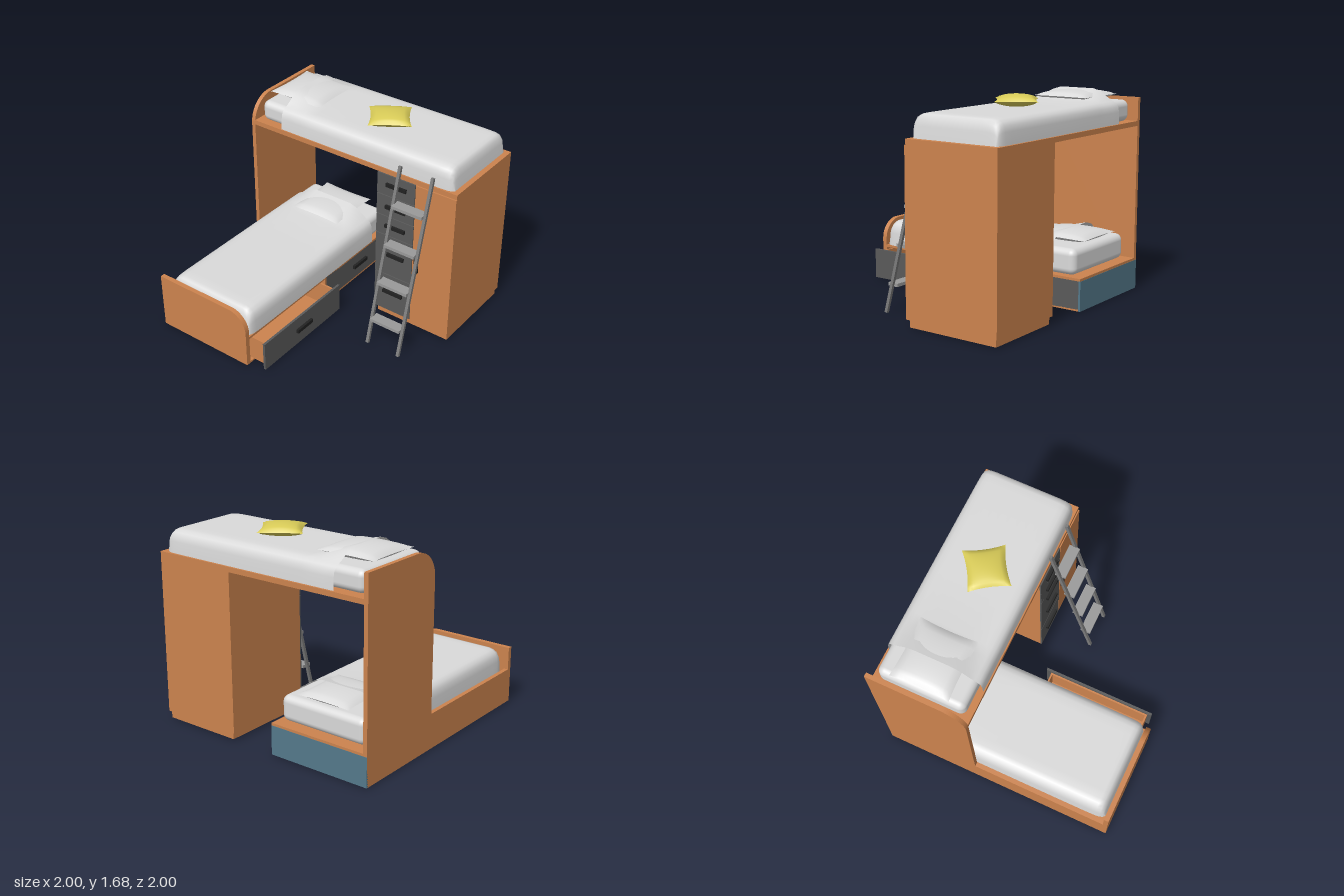
import * as THREE from 'three';
import { RoundedBoxGeometry } from 'three/addons/geometries/RoundedBoxGeometry.js';

const mat = (name, color, side = THREE.FrontSide) => {
  const m = new THREE.MeshStandardMaterial({ color, side });
  m.name = name;
  return m;
};

export function createModel() {
  const wood = mat('orange wood', 0xcc834e);
  const grey = mat('dark grey fronts', 0x5a5a5a);
  const black = mat('black handles', 0x222222);
  const metal = mat('ladder grey', 0x9a9a9a);
  const rail = mat('ladder rail grey', 0x7c7c7c);
  const linen = mat('white linen', 0xdadada, THREE.DoubleSide);
  const yellow = mat('yellow cushion', 0xd9cc58, THREE.DoubleSide);
  const blue = mat('blue panel', 0x54798a);

  const model = new THREE.Group();
  model.name = 'bunkBed';
  const add = (parent, name, geo, material) => {
    const mesh = new THREE.Mesh(geo, material);
    mesh.name = name;
    parent.add(mesh);
    return mesh;
  };
  const group = (name, parent = model) => {
    const g = new THREE.Group();
    g.name = name;
    parent.add(g);
    return g;
  };
  // Box given by its limits on each axis
  const box = (parent, name, m, x0, x1, y0, y1, z0, z1) => {
    const mesh = add(parent, name, new THREE.BoxGeometry(x1 - x0, y1 - y0, z1 - z0), m);
    mesh.position.set((x0 + x1) / 2, (y0 + y1) / 2, (z0 + z1) / 2);
    return mesh;
  };
  // Board standing on y0 with its top corner at +x rounded
  const roundedBoard = (width, y0, y1, r, depth) => {
    const s = new THREE.Shape();
    s.moveTo(0, y0);
    s.lineTo(width, y0);
    s.lineTo(width, y1 - r);
    s.absarc(width - r, y1 - r, r, 0, Math.PI / 2, false);
    s.lineTo(0, y1);
    s.closePath();
    return new THREE.ExtrudeGeometry(s, { depth, bevelEnabled: false, curveSegments: 10 });
  };
  // Smooth surface through a grid of points
  const sheet = (us, vs, f) => {
    const pos = [], idx = [];
    us.forEach((u) => vs.forEach((v) => pos.push(...f(u, v))));
    const n = vs.length;
    for (let i = 0; i < us.length - 1; i++) {
      for (let j = 0; j < n - 1; j++) {
        const a = i * n + j;
        idx.push(a, a + 1, a + n, a + 1, a + n + 1, a + n);
      }
    }
    const g = new THREE.BufferGeometry();
    g.setAttribute('position', new THREE.Float32BufferAttribute(pos, 3));
    g.setIndex(idx);
    g.computeVertexNormals();
    return g;
  };
  const steps = (n) => Array.from({ length: n + 1 }, (_, i) => (2 * i) / n - 1);

  // Stuffed cushion: two bulging faces with pinched sides and pointed corners
  const cushion = (parent, name, m, lx, lz, h, pinch) => {
    const g = group(name, parent);
    for (const s of [1, -1]) {
      const vs = s > 0 ? steps(14) : steps(14).reverse();
      add(g, name + (s > 0 ? 'Top' : 'Bottom'), sheet(steps(14), vs, (u, v) => [
        u * lx * (1 - pinch * (1 - v * v)),
        s * h * Math.pow(Math.max(0, (1 - u * u) * (1 - v * v)), 0.45),
        v * lz * (1 - pinch * (1 - u * u)),
      ]), m);
    }
    return g;
  };

  // Mattress, pillow and duvet, lying along x with the head at -x
  const bedding = (name, w, h) => {
    const g = group(name);
    const mattress = add(g, 'mattress', new RoundedBoxGeometry(1.7, h - 0.01, 2 * w - 0.07, 4, 0.055), linen);
    mattress.position.set(-0.075, (h - 0.01) / 2, 0);
    cushion(g, 'pillow', linen, 0.25, 0.24, 0.045, 0.05).position.set(-0.67, h + 0.03, 0);

    // [position along bed, height factor, width factor]
    const stations = [[-0.69, 1, 1], [-0.6, 1, 1], [-0.5, 1, 1], [-0.4, 1, 1], [0, 1, 1], [0.5, 1, 0.998],
      [0.8, 1, 0.995], [0.87, 0.99, 0.99], [0.905, 0.95, 0.98], [0.93, 0.8, 0.96], [0.94, 0.5, 0.94], [0.95, 0, 0.93]];
    const edge = [[0, 0], [0.004, 0.5], [0.012, 0.72], [0.03, 0.87], [0.06, 0.96], [0.1, 1], [0.17, 1], [0.24, 1], [0.31, 1]];
    const section = [
      ...edge.map(([d, y]) => [d - w, y]),
      [0, 1],
      ...edge.map(([d, y]) => [w - d, y]).reverse(),
    ];
    const clamp = (t) => Math.min(1, Math.max(0, t));
    add(g, 'duvet', sheet(stations, section, ([x, ky, kz], [z, y]) => {
      const hump = 0.085 * clamp((-0.4 - x) / 0.27) * clamp((w - 0.08 - Math.abs(z)) / 0.12);
      return [x, h * y * ky + hump, z * kz];
    }), linen);
    return g;
  };

  // Upper bunk: rounded end panel, platform and bedding
  const upper = group('upperBunk');
  const endPanel = add(upper, 'endPanel', roundedBoard(0.81, 0.01, 1.6, 0.22, 0.035), wood);
  endPanel.rotation.y = -Math.PI / 2;
  endPanel.position.set(-0.965, 0, -1);
  box(upper, 'platform', wood, -0.965, 0.995, 1.37, 1.41, -1, -0.19);
  bedding('upperBedding', 0.392, 0.185).position.set(0, 1.41, -0.592);
  const deco = cushion(model, 'yellowCushion', yellow, 0.172, 0.165, 0.048, 0.1);
  deco.position.set(0.13, 1.64, -0.56);
  deco.rotation.set(0, 0.58, 0);

  // Wardrobe with drawers on the left of its front and a door on the right
  const wardrobe = group('wardrobe');
  box(wardrobe, 'carcass', wood, 0.28, 0.995, 0.07, 1.37, -1, -0.195);
  box(wardrobe, 'plinth', wood, 0.3, 0.98, 0.01, 0.07, -0.985, -0.21);
  box(wardrobe, 'door', wood, 0.635, 0.995, 0.07, 1.365, -0.195, -0.183);
  box(wardrobe, 'doorHandle', black, 0.66, 0.692, 0.57, 0.755, -0.183, -0.163);
  const levels = [0.07, 0.43, 0.81, 0.99, 1.18, 1.37];
  const handleY = [0.265, 0.635, 0.905, 1.083, 1.285];
  handleY.forEach((y, i) => {
    box(wardrobe, 'drawerFront', grey, 0.28, 0.63, levels[i] + 0.003, levels[i + 1] - 0.004, -0.195, -0.183);
    box(wardrobe, 'drawerHandle', black, 0.37, 0.555, y - 0.015, y + 0.015, -0.183, -0.163);
  });

  // Lower bed: hollow base with footboard
  const lower = group('lowerBed');
  box(lower, 'floor', wood, -0.965, -0.11, 0.01, 0.025, -0.985, 0.96);
  box(lower, 'bedBase', wood, -0.965, -0.11, 0.25, 0.27, -1, 0.96);
  box(lower, 'sideRail', wood, -1, -0.965, 0.01, 0.3, -0.99, 0.96);
  box(lower, 'divider', wood, -0.965, -0.11, 0.025, 0.25, -0.032, -0.016);
  box(lower, 'headPanel', blue, -1, -0.11, 0.01, 0.25, -1.002, -0.985);
  add(lower, 'footboard', roundedBoard(0.89, 0.01, 0.49, 0.17, 0.04), wood).position.set(-1, 0, 0.96);
  const lowerBedding = bedding('lowerBedding', 0.425, 0.22);
  lowerBedding.rotation.y = -Math.PI / 2;
  lowerBedding.position.set(-0.53, 0.27, 0);

  // Drawers under the lower bed: x is the back of the front plate
  const bedDrawer = (name, x, z0, z1) => {
    const d = group(name, lower);
    const a = z0 + 0.045, b = z1 - 0.035, back = x - 0.75;
    box(d, 'front', grey, x, x + 0.02, 0.012, 0.262, z0, z1);
    box(d, 'bottom', wood, back, x, 0.03, 0.045, a, b);
    box(d, 'backWall', wood, back, back + 0.015, 0.045, 0.24, a, b);
    box(d, 'innerFront', wood, x - 0.015, x, 0.045, 0.24, a, b);
    box(d, 'sideWall', wood, back, x, 0.03, 0.24, a, a + 0.015);
    box(d, 'sideWall', wood, back, x, 0.03, 0.24, b - 0.015, b);
    const mid = (z0 + z1) / 2;
    box(d, 'handle', black, x + 0.02, x + 0.042, 0.13, 0.162, mid - 0.095, mid + 0.095);
  };
  bedDrawer('openDrawer', 0.022, -0.015, 0.955);
  bedDrawer('closedDrawer', -0.13, -0.985, -0.033);

  // Leaning ladder
  const ladder = group('ladder');
  const bottom = new THREE.Vector3(0, 0.008, 0.195), top = new THREE.Vector3(0, 1.48, -0.195);
  const span = top.clone().sub(bottom);
  for (const x of [0.482, 0.776]) {
    const r = add(ladder, 'ladderRail', new THREE.BoxGeometry(0.025, span.length(), 0.025), rail);
    r.position.copy(bottom).addScaledVector(span, 0.5).setX(x);
    r.rotation.x = Math.atan2(span.z, span.y);
  }
  for (const y of [0.233, 0.547, 0.86, 1.175]) {
    const z = bottom.z + (span.z * (y - bottom.y)) / span.y;
    box(ladder, 'ladderStep', metal, 0.49, 0.768, y - 0.013, y + 0.013, z - 0.045, z + 0.045);
  }
  return model;
}
